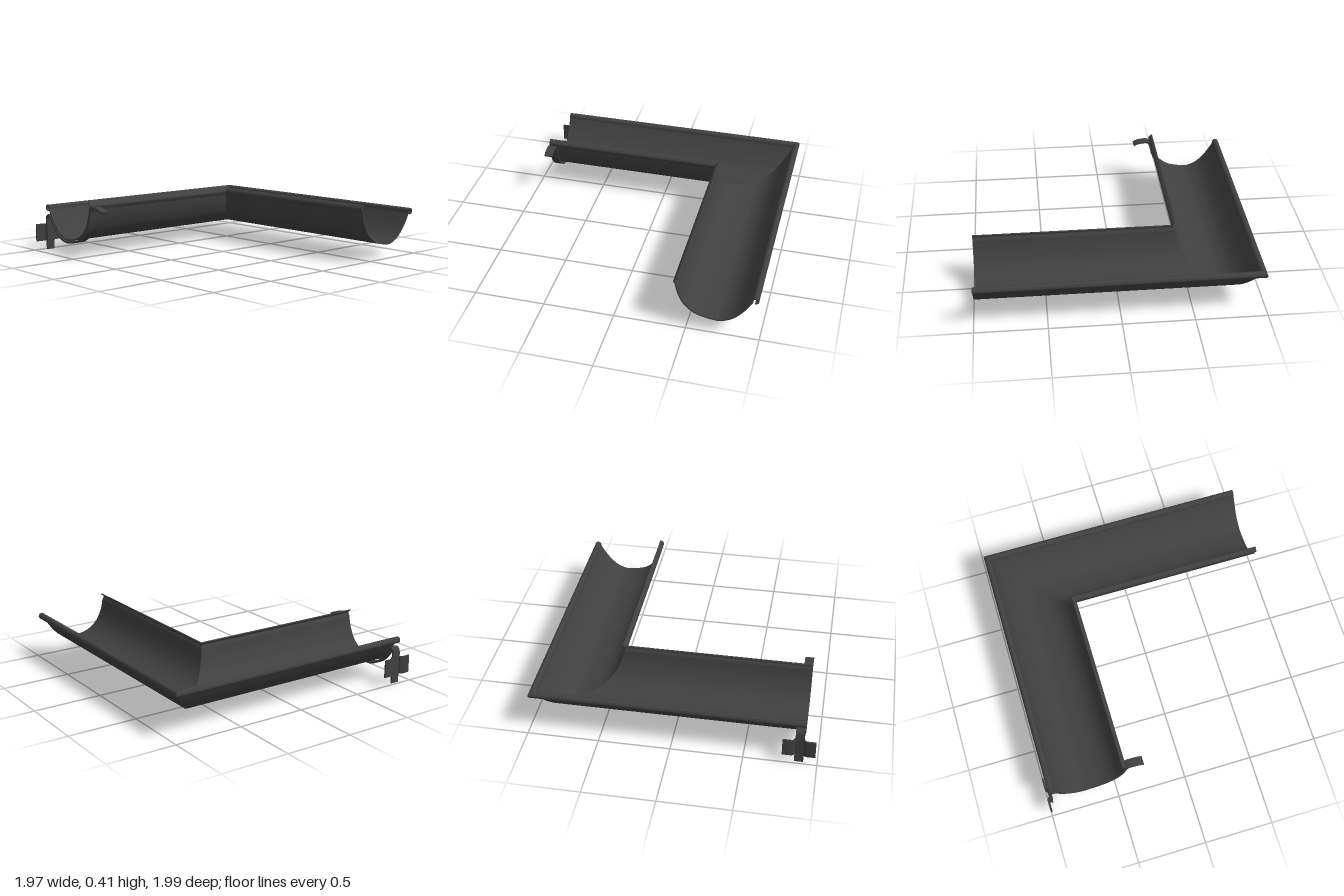
import * as THREE from 'three';
import { toCreasedNormals } from 'three/addons/utils/BufferGeometryUtils.js';

const V = (x, y) => new THREE.Vector2(x, y);
const material = new THREE.MeshStandardMaterial({ color: 0x404040, side: THREE.DoubleSide });
const smooth = (pts, n) => new THREE.SplineCurve(pts.map(([x, y]) => V(x, y))).getPoints(n);

// Closed outline of a sheet of given thickness along an open line
function sheet(line, thickness) {
  const a = [], b = [];
  line.forEach((p, i) => {
    const t = line[Math.min(i + 1, line.length - 1)].clone().sub(line[Math.max(i - 1, 0)]).normalize();
    const n = V(-t.y, t.x).multiplyScalar(thickness / 2);
    a.push(p.clone().add(n));
    b.push(p.clone().sub(n));
  });
  return new THREE.Shape([...a, ...b.reverse()]);
}

const extrude = (shape, depth) => new THREE.ExtrudeGeometry(shape, { depth, bevelEnabled: false });

function mesh(name, geometry) {
  const m = new THREE.Mesh(toCreasedNormals(geometry, 0.6), material);
  m.name = name;
  return m;
}

// Gutter section: x = distance outward, y = height
function gutterSection() {
  const line = smooth([
    [0.438, 0.404], [0.420, 0.392], [0.413, 0.376], [0.424, 0.355], [0.430, 0.325],
    [0.446, 0.27], [0.49, 0.19], [0.57, 0.13], [0.68, 0.105], [0.74, 0.107],
    [0.81, 0.14], [0.87, 0.20], [0.915, 0.265], [0.936, 0.303],
  ], 52);
  // rolled bead on the outer rim
  for (let i = 0; i <= 18; i++) {
    const a = THREE.MathUtils.degToRad(190 - i * 16);
    line.push(V(0.957 + 0.019 * Math.cos(a), 0.316 + 0.019 * Math.sin(a)));
  }
  return sheet(line, 0.009);
}

// One leg, cut at 45 degrees where it meets the other
function gutterLeg(name, shape, toBack) {
  const g = extrude(shape, 1);
  const p = g.attributes.position;
  for (let i = 0; i < p.count; i++) {
    const d = p.getX(i), end = p.getZ(i) > 0.5;
    if (toBack) p.setXYZ(i, end ? -0.905 : d, p.getY(i), -d);
    else p.setZ(i, end ? 0.99 : -d);
  }
  if (toBack) {
    // the back leg is mirrored, so swap two corners of every face
    for (let i = 0; i < p.count; i += 3) {
      const b = new THREE.Vector3().fromBufferAttribute(p, i + 1);
      const c = new THREE.Vector3().fromBufferAttribute(p, i + 2);
      p.setXYZ(i + 1, c.x, c.y, c.z);
      p.setXYZ(i + 2, b.x, b.y, b.z);
    }
  }
  return mesh(name, g);
}

function bracket() {
  const group = new THREE.Group();
  group.name = 'bracket';

  // strap: tongue, cradle under the gutter, hook and tail
  const strapLine = smooth([
    [0.285, 0.345], [0.32, 0.362], [0.38, 0.37], [0.405, 0.358], [0.418, 0.325], [0.435, 0.26],
    [0.48, 0.178], [0.565, 0.112], [0.68, 0.087], [0.75, 0.089], [0.82, 0.12], [0.88, 0.18],
    [0.917, 0.238], [0.94, 0.26], [0.963, 0.257], [0.976, 0.23], [0.976, 0.15], [0.975, 0.08], [0.974, 0],
  ], 72);
  const strap = extrude(sheet(strapLine, 0.013), 0.062);
  strap.rotateY(Math.PI / 2).translate(-0.906, 0, 0);
  group.add(mesh('strap', strap));

  // fixing plate folded around the tail of the strap
  const plateLine = [
    [-0.985, 0.994], [-0.922, 0.994], [-0.909, 0.986], [-0.904, 0.968],
    [-0.845, 0.968], [-0.838, 0.986], [-0.826, 0.994], [-0.76, 0.994],
  ].map(([x, d]) => V(x, d));
  const plate = extrude(sheet(plateLine, 0.011), 0.13);
  plate.rotateX(-Math.PI / 2).translate(0, 0.065, 0);
  group.add(mesh('fixingPlate', plate));
  return group;
}

export function createModel() {
  const model = new THREE.Group();
  model.name = 'cornerGutter';
  const section = gutterSection();
  model.add(
    gutterLeg('frontGutterLeg', section, false),
    gutterLeg('backGutterLeg', section, true),
    bracket(),
  );
  return model;
}
